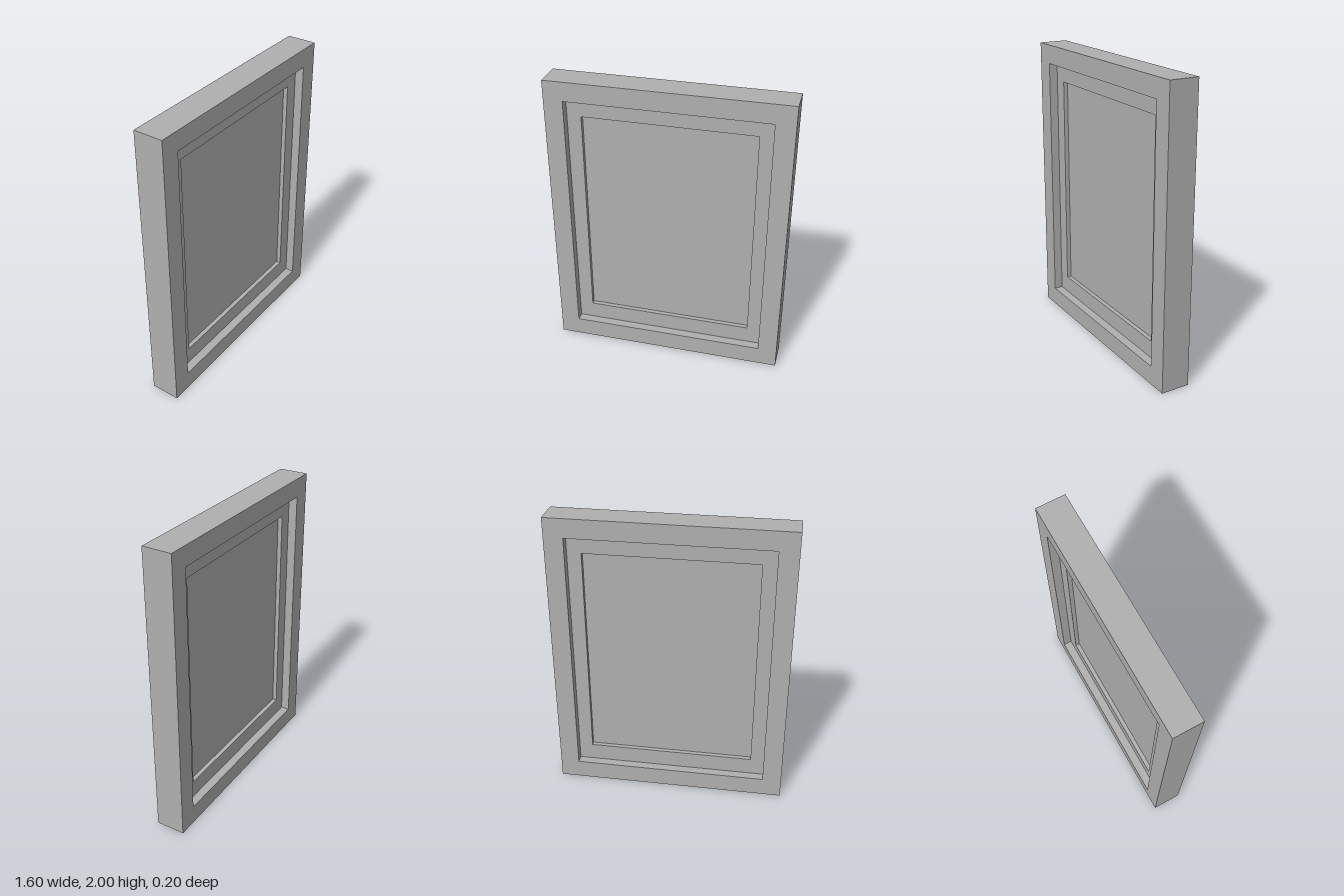
import * as THREE from 'three';

// Rectangular ring, centred on the origin, open through z
function ring(name, w, h, innerW, innerH, depth, material) {
  const rect = (path, rw, rh) => path
    .moveTo(-rw / 2, -rh / 2).lineTo(rw / 2, -rh / 2)
    .lineTo(rw / 2, rh / 2).lineTo(-rw / 2, rh / 2).closePath();
  const shape = new THREE.Shape();
  rect(shape, w, h);
  const hole = new THREE.Path();
  rect(hole, innerW, innerH);
  shape.holes.push(hole);
  const geometry = new THREE.ExtrudeGeometry(shape, { depth, bevelEnabled: false });
  geometry.translate(0, 0, -depth / 2);
  const mesh = new THREE.Mesh(geometry, material);
  mesh.name = name;
  mesh.position.y = 1;
  return mesh;
}

export function createModel() {
  const group = new THREE.Group();
  group.name = 'framedPanel';
  const grey = new THREE.MeshStandardMaterial({ color: 0xb0b0b0 });
  grey.name = 'grey';

  // Thick outer frame, with a thinner sash stepped in on both sides
  group.add(ring('outerFrame', 1.6, 2, 1.34, 1.74, 0.2, grey));
  group.add(ring('innerSash', 1.34, 1.74, 1.15, 1.5, 0.08, grey));

  // Thin pane filling the sash
  const pane = new THREE.Mesh(new THREE.BoxGeometry(1.15, 1.5, 0.02), grey);
  pane.name = 'pane';
  pane.position.y = 1;
  group.add(pane);
  return group;
}
